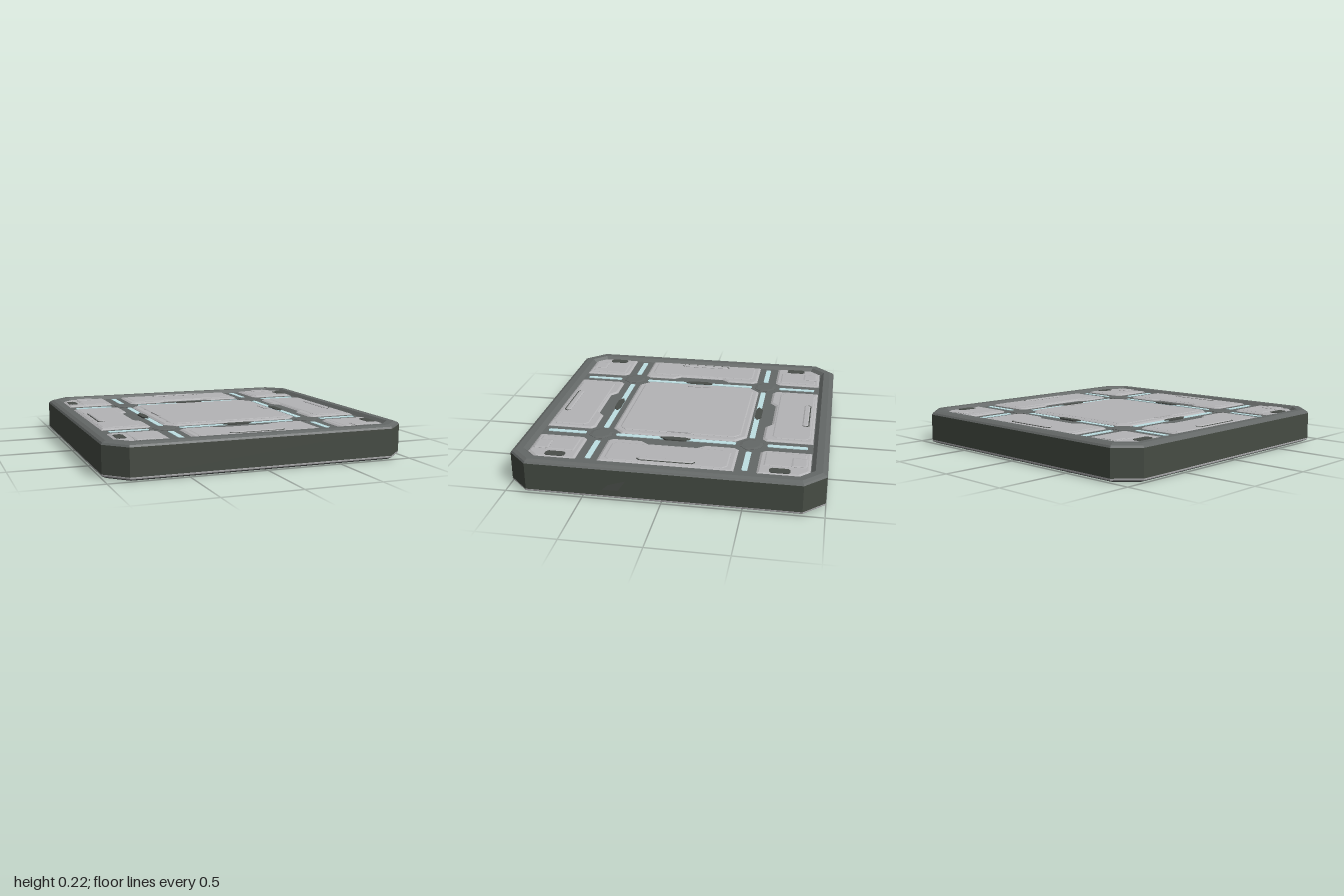
import * as THREE from 'three';

const mat = (name, color, side = THREE.FrontSide) => {
  const m = new THREE.MeshStandardMaterial({ color, side, flatShading: true });
  m.name = name;
  return m;
};

export function createModel() {
  const M = {
    frame: mat('frame grey', 0x646867),
    side: mat('dark side', 0x464c44),
    panel: mat('panel grey', 0xb4b4b6),
    dark: mat('dark inset', 0x4a4e4a),
    light: mat('pale cyan', 0xbfe0e4),
  };
  const HALF = 0.1125, FLOOR = 0.09, PANEL = 0.1;
  const model = new THREE.Group();
  model.name = 'floorTile';

  // Octagon of the outline, moved inwards by d
  const octagon = (d) => {
    const h = 1 - d, k = h - (0.135 - 0.586 * d);
    return [[h, k], [k, h], [-k, h], [-h, k], [-h, -k], [-k, -h], [k, -h], [h, -k]];
  };

  // Surface joining octagons given as [inset, y], listed from below to above
  const loft = (name, rings, material) => {
    const pos = [];
    for (let r = 0; r < rings.length - 1; r++) {
      const [d0, y0] = rings[r], [d1, y1] = rings[r + 1];
      const a = octagon(d0), b = octagon(d1);
      for (let i = 0; i < 8; i++) {
        const j = (i + 1) % 8;
        const p = [a[i][0], y0, a[i][1]], q = [a[j][0], y0, a[j][1]];
        const s = [b[i][0], y1, b[i][1]], t = [b[j][0], y1, b[j][1]];
        pos.push(...p, ...s, ...q, ...q, ...s, ...t);
      }
    }
    const g = new THREE.BufferGeometry();
    g.setAttribute('position', new THREE.Float32BufferAttribute(pos, 3));
    g.computeVertexNormals();
    const mesh = new THREE.Mesh(g, material);
    mesh.name = name;
    return mesh;
  };

  // Flat plate from [x, z] corners, with a bevelled upper edge
  const plate = (name, pts, y0, y1, bevel, material) => {
    const shape = new THREE.Shape(pts.map(([x, z]) => new THREE.Vector2(x, -z)));
    const b = bevel > 0 ? Math.min(0.008, (y1 - y0) / 2.5) : 0;
    const g = new THREE.ExtrudeGeometry(shape, {
      depth: y1 - y0 - 2 * b, bevelEnabled: bevel > 0, bevelSegments: 1,
      bevelThickness: b, bevelSize: bevel, bevelOffset: -bevel,
    });
    g.rotateX(-Math.PI / 2).translate(0, y0 + b, 0);
    const mesh = new THREE.Mesh(g, material);
    mesh.name = name;
    return mesh;
  };

  // Rectangle with cut corners
  const cut = (cx, cz, w, d, c) => {
    const x = w / 2, z = d / 2;
    return [[x, z - c], [x - c, z], [c - x, z], [-x, z - c], [-x, c - z], [c - x, -z], [x - c, -z], [x, c - z]]
      .map(([px, pz]) => [cx + px, cz + pz]);
  };

  // One decorated face of the tile
  const makeFace = (name) => {
    const face = new THREE.Group();
    face.name = name;
    face.add(loft('rim', [[0, 0.09], [0.008, 0.102], [0.03, HALF], [0.075, HALF], [0.1, FLOOR]], M.frame));
    face.add(plate('recessedFloor', octagon(0.095), FLOOR - 0.02, FLOOR, 0, M.frame));

    // Centre panel with its inner raised field
    face.add(plate('centrePanel', cut(0, -0.01, 0.94, 0.9, 0.07), FLOOR - 0.01, PANEL, 0.015, M.panel));
    face.add(plate('centreField', cut(0, -0.01, 0.84, 0.82, 0.04), PANEL - 0.005, PANEL + 0.004, 0.008, M.panel));
    for (const s of [-1, 1]) {
      face.add(plate('centreGrip', cut(s * 0.405, -0.01, 0.025, 0.17, 0.01), PANEL, PANEL + 0.007, 0, M.panel));
    }

    // Four sides, each a quarter turn apart
    for (let i = 0; i < 4; i++) {
      const q = new THREE.Group();
      q.name = 'quarter' + (i + 1);
      q.rotation.y = i * Math.PI / 2;
      face.add(q);

      // Edge panel with a notched inner side
      q.add(plate('edgePanel', [
        [-0.43, 0.895], [-0.43, 0.59], [-0.4, 0.565], [-0.21, 0.565], [-0.16, 0.605],
        [0.16, 0.605], [0.21, 0.565], [0.4, 0.565], [0.43, 0.59], [0.43, 0.895],
      ], FLOOR - 0.01, PANEL, 0.015, M.panel));
      q.add(plate('edgeField', cut(0, 0.75, 0.78, 0.25, 0.03), PANEL - 0.004, PANEL + 0.003, 0.008, M.panel));
      q.add(plate('handleOutline', cut(0, 0.835, 0.37, 0.045, 0.018), PANEL, PANEL + 0.005, 0, M.dark));
      q.add(plate('handle', cut(0, 0.83, 0.36, 0.04, 0.016), PANEL, PANEL + 0.01, 0.008, M.panel));

      // Light strips in the channels
      q.add(plate('longLight', cut(0, 0.495, 0.8, 0.036, 0.008), FLOOR, FLOOR + 0.004, 0, M.light));
      for (const s of [-1, 1]) {
        q.add(plate('shortLight', cut(s * 0.495, 0.735, 0.036, 0.26, 0.006), FLOOR, FLOOR + 0.004, 0, M.light));
      }
      q.add(plate('channelLatch', [
        [-0.1, 0.49], [-0.06, 0.478], [0.06, 0.478], [0.1, 0.49], [0.1, 0.5], [0.06, 0.522], [-0.06, 0.522], [-0.1, 0.5],
      ], FLOOR, FLOOR + 0.009, 0, M.dark));

      // Raised crossing of two channels
      q.add(plate('crossing', cut(0.5, 0.5, 0.15, 0.15, 0.045), FLOOR, PANEL, 0.02, M.frame));
    }

    // Corner panels, mirrored left to right and front to back
    for (const sx of [-1, 1]) for (const sz of [-1, 1]) {
      const at = (pts) => {
        const p = pts.map(([x, z]) => [x * sx, z * sz]);
        return sx * sz < 0 ? p.reverse() : p;
      };
      face.add(plate('cornerPanel', at([
        [0.57, 0.6], [0.6, 0.57], [0.895, 0.57], [0.895, 0.83], [0.83, 0.895], [0.57, 0.895],
      ]), FLOOR - 0.01, PANEL, 0.015, M.panel));
      face.add(plate('cornerField', at([
        [0.605, 0.605], [0.79, 0.605], [0.79, 0.865], [0.605, 0.865],
      ]), PANEL - 0.004, PANEL + 0.003, 0.008, M.panel));
      face.add(plate('cornerSocket', cut(sx * 0.73, sz * 0.825, 0.12, 0.1, 0.005), PANEL, PANEL + 0.008, 0.012, M.panel));
      face.add(plate('cornerInset', cut(sx * 0.85, sz * 0.71, 0.062, 0.13, 0.015), PANEL, PANEL + 0.003, 0, M.dark));
    }
    return face;
  };

  const top = makeFace('topFace');
  top.position.y = HALF;
  const bottom = makeFace('bottomFace');
  bottom.position.y = HALF;
  bottom.rotation.x = Math.PI;
  model.add(top, bottom);

  // Outer wall with a thin pale line near its foot
  model.add(loft('outerWall', [[0, 0.0225], [0, 0.2025]], M.side));
  model.add(loft('footLine', [[0.001, 0.014], [-0.001, 0.021], [-0.001, 0.026]], M.panel));

  // Slanted mark on the right-hand wall
  const mark = new THREE.Shape([[-0.37, 0.065], [-0.27, 0.065], [-0.22, 0.135], [-0.33, 0.1]].map((p) => new THREE.Vector2(...p)));
  const markMesh = new THREE.Mesh(new THREE.ShapeGeometry(mark), M.dark);
  markMesh.name = 'wallMark';
  markMesh.rotation.y = Math.PI / 2;
  markMesh.position.x = 1.001;
  model.add(markMesh);
  return model;
}
